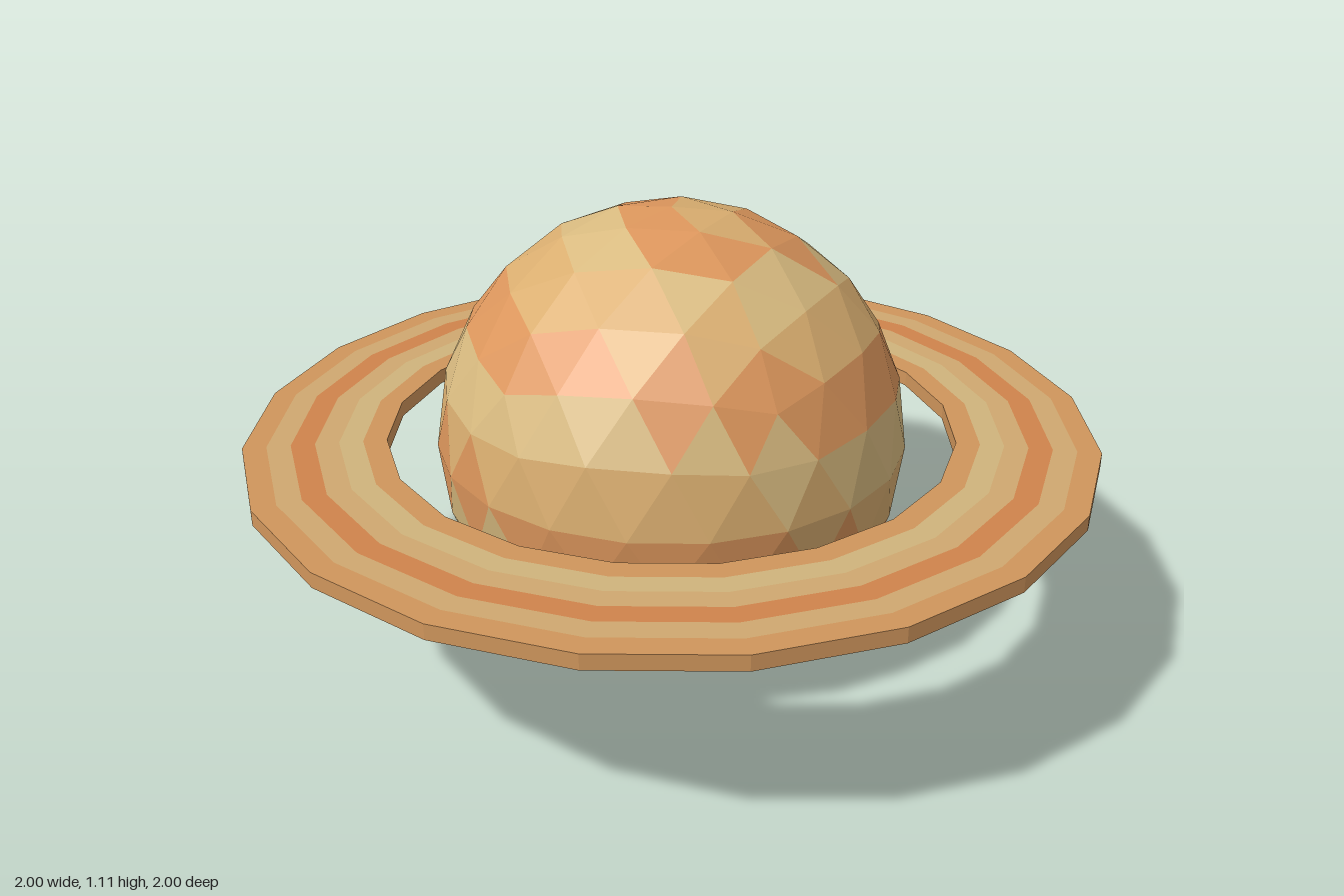
import * as THREE from 'three';

const R = 0.554; // planet radius
const V = (r, y) => new THREE.Vector2(r, y);
const paint = (color) => new THREE.MeshStandardMaterial({ color, flatShading: true });

// Faceted globe, its faces sorted into slightly tilted colour stripes
function createPlanet() {
  const planet = new THREE.Group();
  planet.name = 'planet';
  const ball = new THREE.IcosahedronGeometry(R, 3);
  ball.rotateZ(-Math.atan(2 / (1 + Math.sqrt(5)))); // a corner at each pole
  const pos = ball.attributes.position;
  const tilt = THREE.MathUtils.degToRad(10);
  const axis = new THREE.Vector3(Math.sin(tilt), Math.cos(tilt), 0);
  const stripes = [
    { name: 'orangeStripes', color: 0xdc965c, points: [] },
    { name: 'creamStripes', color: 0xd9bb80, points: [] },
    { name: 'tanStripes', color: 0xdaae70, points: [] },
  ];
  for (let i = 0; i < pos.count; i += 3) {
    const corners = [0, 1, 2].map((k) => new THREE.Vector3().fromBufferAttribute(pos, i + k));
    const centre = new THREE.Vector3();
    corners.forEach((c) => centre.add(c));
    const lat = THREE.MathUtils.radToDeg(Math.asin(centre.normalize().dot(axis)));
    // three stripes repeat from the top down, 40.5 degrees per cycle
    const index = Math.floor((90 + 28.5 - lat) / 13.5) % 3;
    stripes[index].points.push(...corners);
  }
  for (const { name, color, points } of stripes) {
    const geometry = new THREE.BufferGeometry().setFromPoints(points);
    geometry.computeVertexNormals();
    const mesh = new THREE.Mesh(geometry, paint(color));
    mesh.name = name;
    planet.add(mesh);
  }
  planet.position.y = R;
  return planet;
}

// Flat 20-sided ring made of six concentric bands
function createRing() {
  const ring = new THREE.Group();
  ring.name = 'ring';
  const colors = [0xd0965c, 0xd0a870, 0xd0844c, 0xd0a870, 0xd0b47c, 0xd0965c];
  const width = 0.33 / colors.length;
  const h = 0.018;
  colors.forEach((color, i) => {
    const out = 1 - i * width;
    const inner = out - width;
    let profiles;
    if (i === 0) profiles = [[V(inner, -h), V(out, -h), V(out, h), V(inner, h)]]; // with outer rim
    else if (i === colors.length - 1) profiles = [[V(out, h), V(inner, h), V(inner, -h), V(out, -h)]]; // with inner rim
    else profiles = [[V(inner, -h), V(out, -h)], [V(out, h), V(inner, h)]];
    const band = new THREE.Group();
    band.name = `ringBand${i + 1}`;
    for (const profile of profiles) {
      const mesh = new THREE.Mesh(new THREE.LatheGeometry(profile, 20), paint(color));
      mesh.name = 'bandSurface';
      band.add(mesh);
    }
    ring.add(band);
  });
  ring.position.y = 0.557;
  return ring;
}

export function createModel() {
  const model = new THREE.Group();
  model.name = 'ringedPlanet';
  model.add(createPlanet(), createRing());
  return model;
}
